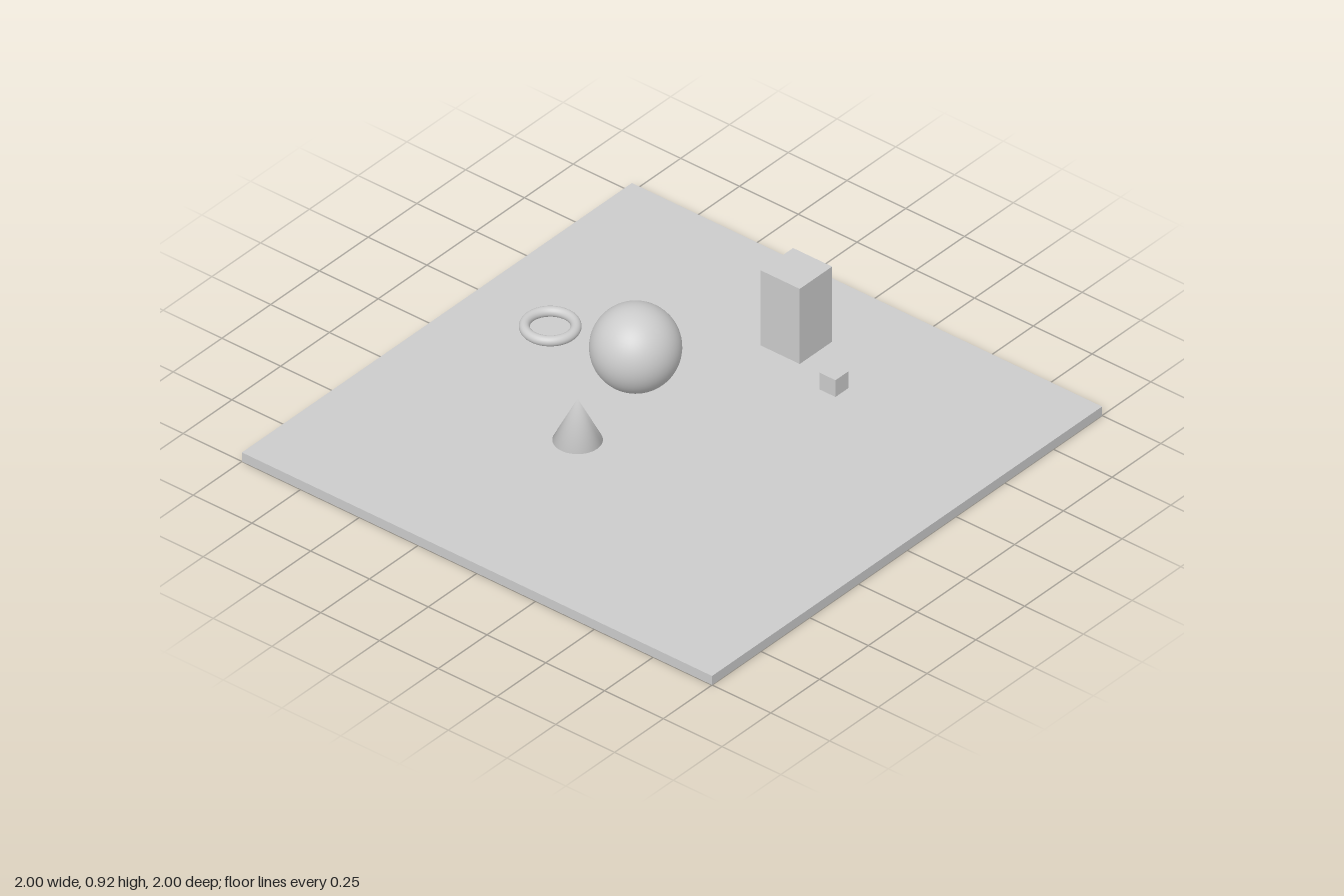
import * as THREE from 'three';
import { mergeVertices } from 'three/addons/utils/BufferGeometryUtils.js';

const material = new THREE.MeshStandardMaterial({ color: 0xcccccc });

function addPart(group, name, geometry, x, y, z) {
  const mesh = new THREE.Mesh(geometry, material);
  mesh.name = name;
  mesh.position.set(x, y, z);
  group.add(mesh);
  return mesh;
}

// Share vertices across edges so that shading blends over the rim
function blendNormals(geometry) {
  geometry.deleteAttribute('normal');
  geometry.deleteAttribute('uv');
  const merged = mergeVertices(geometry, 1e-5);
  merged.computeVertexNormals();
  return merged;
}

export function createModel() {
  const model = new THREE.Group();
  model.name = 'shapesOnPlatform';

  // Square platform
  const floorTop = 0.036;
  addPart(model, 'platform', new THREE.BoxGeometry(2, floorTop, 2), 0, floorTop / 2, 0);

  // Upright block standing on the platform
  const blockHeight = 0.3;
  addPart(model, 'tallBlock', new THREE.BoxGeometry(0.166, blockHeight, 0.166),
    0, floorTop + blockHeight / 2, -0.638);

  // Small cube hovering just above the platform
  addPart(model, 'smallCube', new THREE.BoxGeometry(0.067, 0.067, 0.067), 0.275, 0.086, -0.5);

  // Floating ball
  addPart(model, 'ball', new THREE.SphereGeometry(0.153, 48, 32), 0.275, 0.767, 0.518);

  // Floating cone with a soft-shaded rim
  addPart(model, 'cone', blendNormals(new THREE.ConeGeometry(0.083, 0.164, 48)), 0, 0.338, 0.484);

  // Floating ring lying flat
  const ring = addPart(model, 'ring', new THREE.TorusGeometry(0.085, 0.018, 20, 64), -0.518, 0.218, 0);
  ring.rotation.x = -Math.PI / 2;

  return model;
}
